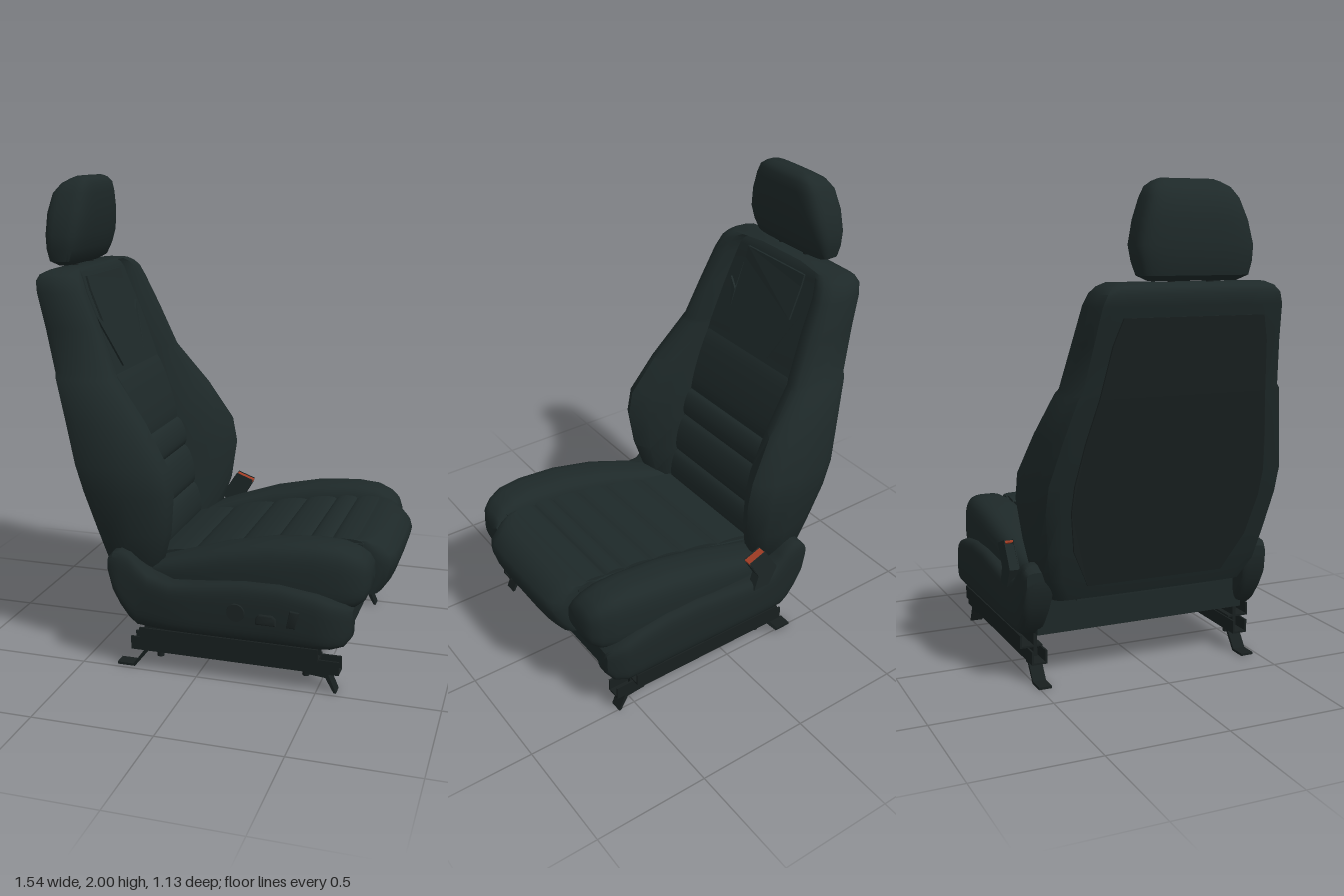
import * as THREE from 'three';
import { toCreasedNormals } from 'three/addons/utils/BufferGeometryUtils.js';

const material = (name, color) => {
  const m = new THREE.MeshStandardMaterial({ color });
  m.name = name;
  return m;
};

// Skin a row of closed cross-sections, cap both ends and face everything outward
function loft(sections, crease = 0.7) {
  const n = sections[0].length, pos = sections.flat(2), index = [];
  const centre = s => [0, 1, 2].map(k => s.reduce((t, p) => t + p[k], 0) / n);
  const last = (sections.length - 1) * n, capA = sections.length * n;
  pos.push(...centre(sections[0]), ...centre(sections.at(-1)));
  for (let j = 0; j < n; j++) {
    const k = (j + 1) % n;
    for (let r = 0; r < last; r += n) index.push(r + j, r + k, r + n + k, r + j, r + n + k, r + n + j);
    index.push(capA, k, j, capA + 1, last + j, last + k);
  }
  const v = i => new THREE.Vector3().fromArray(pos, i * 3);
  let volume = 0;
  for (let i = 0; i < index.length; i += 3) volume += v(index[i]).dot(v(index[i + 1]).cross(v(index[i + 2])));
  if (volume < 0) index.reverse();
  const g = new THREE.BufferGeometry();
  g.setAttribute('position', new THREE.Float32BufferAttribute(pos, 3));
  g.setIndex(index);
  return toCreasedNormals(g, crease);
}

// Rounded rectangle-like loop of [a, b] pairs
function roundLoop(a0, a1, b0, b1, power = 4, count = 28) {
  return Array.from({ length: count }, (_, i) => {
    const t = (i + 0.5) / count * Math.PI * 2, c = Math.cos(t), s = Math.sin(t);
    const f = u => Math.sign(u) * Math.abs(u) ** (2 / power);
    return [(a0 + a1) / 2 + f(c) * (a1 - a0) / 2, (b0 + b1) / 2 + f(s) * (b1 - b0) / 2];
  });
}

const toShape = pts => new THREE.Shape(pts.map(p => new THREE.Vector2(...p)));

// Side profile (x, y) extruded between z0 and z1; the bevel stays inside the outline
function slab(shape, z0, z1, bevel = 0) {
  const g = new THREE.ExtrudeGeometry(shape, {
    depth: z1 - z0 - 2 * bevel, bevelEnabled: bevel > 0, bevelThickness: bevel,
    bevelSize: bevel, bevelOffset: -bevel, bevelSegments: 4, curveSegments: 8,
  });
  return toCreasedNormals(g.translate(0, 0, z0 + bevel), 0.7);
}

// Padded roll whose upper face bulges between points a and b
function pleat(a, b, side, bulge, halfWidth) {
  const dx = b[0] - a[0], dy = b[1] - a[1], l = Math.hypot(dx, dy);
  const nx = -dy / l * side, ny = dx / l * side;
  const s = new THREE.Shape();
  s.moveTo(a[0], a[1]);
  s.bezierCurveTo(a[0] + dx * 0.1 + nx * bulge, a[1] + dy * 0.1 + ny * bulge,
    b[0] - dx * 0.1 + nx * bulge, b[1] - dy * 0.1 + ny * bulge, b[0], b[1]);
  s.lineTo(b[0] - nx * 0.04, b[1] - ny * 0.04);
  s.lineTo(a[0] - nx * 0.04, a[1] - ny * 0.04);
  return slab(s, -halfWidth, halfWidth);
}

// Backrest stations: y, rear x, centre front x, bolster front x, half width
const BACK = [
  [0.36, -0.37, -0.25, -0.22, 0.43], [0.45, -0.41, -0.25, -0.17, 0.485],
  [0.58, -0.452, -0.275, -0.13, 0.51], [0.75, -0.505, -0.315, -0.11, 0.537],
  [0.86, -0.54, -0.345, -0.13, 0.537], [1.03, -0.59, -0.395, -0.235, 0.498],
  [1.2, -0.642, -0.455, -0.37, 0.455], [1.22, -0.648, -0.461, -0.38, 0.44],
  [1.4, -0.695, -0.52, -0.455, 0.413], [1.54, -0.735, -0.575, -0.52, 0.395],
  [1.585, -0.745, -0.587, -0.54, 0.378], [1.61, -0.735, -0.597, -0.56, 0.355], [1.625, -0.705, -0.61, -0.58, 0.32],
];
function backAt(y, column) {
  const i = Math.max(1, BACK.findIndex(s => s[0] >= y)), a = BACK[i - 1], b = BACK[i];
  return THREE.MathUtils.mapLinear(y, a[0], b[0], a[column], b[column]);
}

// Thin panel drawn as (z, y) points and laid over the backrest surface
function backPlate(halfOutline, column, offset) {
  const pts = [...halfOutline, ...halfOutline.map(([z, y]) => [-z, y]).reverse()];
  const g = new THREE.ExtrudeGeometry(toShape(pts), { depth: 0.009, bevelEnabled: false });
  g.rotateY(Math.PI / 2);
  const p = g.attributes.position;
  for (let i = 0; i < p.count; i++) p.setX(i, p.getX(i) + backAt(p.getY(i), column) + offset);
  g.computeVertexNormals();
  return g;
}

export function createModel() {
  const leather = material('leather', 0x1e2929);
  const plastic = material('plastic', 0x1d2727);
  const shell = material('back shell', 0x1b2323);
  const metal = material('rail metal', 0x181f1f);
  const red = material('release red', 0xa03c24);

  const model = new THREE.Group();
  const seat = new THREE.Group();
  seat.name = 'carSeat';
  seat.position.z = -0.014;
  model.add(seat);
  const add = (name, geometry, mat) => {
    const m = new THREE.Mesh(geometry, mat);
    m.name = name;
    seat.add(m);
    return m;
  };
  const box = (name, mat, x0, x1, y0, y1, z0, z1) =>
    add(name, new THREE.BoxGeometry(x1 - x0, y1 - y0, z1 - z0).translate((x0 + x1) / 2, (y0 + y1) / 2, (z0 + z1) / 2), mat);

  // Backrest with side bolsters standing proud of the centre
  add('backrest', loft(BACK.map(([y, xb, xc, xf, w]) => {
    const inner = Math.min(0.29, w * 0.66), d = xf - xb;
    const half = [[xb, w * 0.5], [xb + 0.004, w * 0.84], [xb + d * 0.06, w * 0.94], [xb + d * 0.22, w * 0.985],
      [xb + d * 0.55, w], [xb + d * 0.82, w * 0.97], [xf - d * 0.04, w * 0.91], [xf, w * 0.84],
      [xf - (xf - xc) * 0.25, (w * 0.83 + inner) / 2], [xc, inner], [xc, inner * 0.4]];
    return [...half, ...half.map(([x, z]) => [x, -z]).reverse()].map(([x, z]) => [x, y, z]);
  }), 0.8), leather);

  // Horizontal rolls down the centre of the backrest, and the upper insert
  const rolls = [0.42, 0.58, 0.76, 0.89, 1.18];
  for (let i = 0; i < rolls.length - 1; i++) {
    const [a, b] = [rolls[i], rolls[i + 1]].map(y => [backAt(y, 2), y]);
    add('backrestRoll', pleat(a, b, -1, i < 3 ? 0.03 : 0.02, 0.285), leather);
  }
  add('backrestInsert', backPlate([[0.125, 1.205], [0.18, 1.32], [0.235, 1.44], [0.185, 1.4], [0.185, 1.54], [0.185, 1.59]], 2, 0.001), leather);
  add('backShell', backPlate([[0.3, 0.42], [0.38, 0.58], [0.41, 0.75], [0.41, 0.86], [0.385, 1.03],
    [0.35, 1.2], [0.32, 1.4], [0.29, 1.5]], 1, -0.006), shell);

  // Headrest and posts
  add('headrest', loft([
    [1.63, -0.72, -0.67, 0.18], [1.65, -0.755, -0.635, 0.222], [1.7, -0.768, -0.61, 0.234], [1.76, -0.77, -0.592, 0.24],
    [1.85, -0.768, -0.578, 0.218], [1.93, -0.75, -0.576, 0.188], [1.97, -0.715, -0.58, 0.165], [1.99, -0.68, -0.592, 0.135], [2, -0.655, -0.615, 0.11],
  ].map(([y, x0, x1, w]) => roundLoop(x0, x1, -w, w).map(([x, z]) => [x, y, z]))), leather);
  for (const z of [-0.08, 0.08])
    add('headrestPost', new THREE.CylinderGeometry(0.014, 0.014, 0.12, 16).translate(-0.68, 1.62, z), metal);

  // Seat pan and pleated centre cushion
  box('seatPan', plastic, -0.28, 0.6, 0.2, 0.36, -0.47, 0.47);
  const top = [[-0.3, 0.415], [-0.08, 0.465], [0.115, 0.51], [0.27, 0.538], [0.41, 0.557], [0.505, 0.567], [0.64, 0.57]];
  add('cushionCore', slab(toShape([[-0.3, 0.33], [0.64, 0.33], ...top.slice().reverse()]), -0.305, 0.305), leather);
  for (let i = 0; i < top.length - 1; i++)
    add('cushionPleat', pleat(top[i], top[i + 1], 1, 0.02, 0.295), leather);

  // Thigh pad with front corners rounded off: z, forward reach
  const padProfile = [[0.56, 0.36], [0.64, 0.35], [0.71, 0.35], [0.745, 0.4], [0.77, 0.48],
    [0.76, 0.515], [0.72, 0.555], [0.68, 0.578], [0.62, 0.583], [0.56, 0.57]];
  const padHalf = [[0.298, 0.55], [0.288, 0.76], [0.265, 0.9], [0.22, 0.975], [0.12, 1]];
  add('thighPad', loft([...padHalf.map(([z, f]) => [-z, f]), ...padHalf.slice().reverse()]
    .map(([z, f]) => padProfile.map(([x, y]) => [0.56 + (x - 0.56) * f, y, z - 0.006]))), leather);

  for (const s of [-1, 1]) {
    // Cushion bolsters
    add('cushionBolster', loft([
      [-0.27, 0.43, 0.32, 0.44], [-0.1, 0.49, 0.3, 0.49], [0.1, 0.555, 0.3, 0.512], [0.3, 0.598, 0.3, 0.518],
      [0.48, 0.612, 0.32, 0.515], [0.58, 0.605, 0.34, 0.505], [0.64, 0.582, 0.355, 0.485], [0.675, 0.555, 0.38, 0.46], [0.692, 0.52, 0.42, 0.425],
    ].map(([x, y1, y0, z1]) => roundLoop(y0, y1, 0.302, z1, 3.4).map(([y, z]) => [x, y, z * s]))), leather);

    // Lower side cover, rising at the recliner hinge: x, bottom, top, outer z of each side
    add('sideCover', loft([
      [-0.372, 0.42, 0.49, 0.535, 0.545], [-0.35, 0.34, 0.515, 0.546, 0.554], [-0.32, 0.28, 0.522, 0.546, 0.555],
      [-0.28, 0.225, 0.508, 0.546, 0.555], [-0.25, 0.202, 0.475, 0.546, 0.555], [-0.2, 0.2, 0.43, 0.55, 0.555],
      [-0.1, 0.2, 0.408, 0.566, 0.555], [0, 0.2, 0.42, 0.57, 0.555], [0.2, 0.2, 0.445, 0.57, 0.555],
      [0.35, 0.2, 0.447, 0.57, 0.555], [0.5, 0.2, 0.425, 0.57, 0.555], [0.56, 0.202, 0.405, 0.56, 0.553],
      [0.61, 0.212, 0.382, 0.53, 0.53], [0.637, 0.245, 0.355, 0.5, 0.505],
    ].map(([x, y0, y1, left, right]) =>
      roundLoop(y0, y1, 0.43, s > 0 ? left : right, 4).map(([y, z]) => [x, y, z * s]))), plastic);

    // Sliding rails: a floor channel, an inner slider and an outer mounting angle
    const z = s * 0.465;
    box('lowerRailBase', metal, -0.29, 0.59, 0.08, 0.088, z - 0.032, z + 0.032);
    for (const e of [-1, 1])
      box('lowerRailWall', metal, -0.29, 0.59, 0.08, 0.137, z + e * 0.029 - 0.004, z + e * 0.029 + 0.004);
    box('railSlider', metal, -0.24, 0.51, 0.1, 0.2, z - 0.008, z + 0.008);
    box('railFlange', metal, -0.24, 0.51, 0.139, 0.147, z - 0.03 - (s < 0 ? 0.035 : 0), z + 0.03 + (s > 0 ? 0.035 : 0));
    box('railOuterWall', metal, -0.24, 0.51, 0.139, 0.195, s * 0.527 - 0.004, s * 0.527 + 0.004);
    for (const x of [-0.02, 0.36])
      box('railBracket', metal, x - 0.03, x + 0.03, 0.14, 0.205, z - 0.034, z + 0.034);
    for (const x of [-0.17, 0.45])
      add('railBolt', new THREE.CylinderGeometry(0.015, 0.015, 0.03, 12).translate(x, 0.067, z), metal);

    // Floor feet
    add('rearFoot', slab(toShape([[-0.21, 0.085], [-0.23, 0.085], [-0.285, 0.01], [-0.355, 0.01], [-0.355, 0], [-0.278, 0]]), z - 0.028, z + 0.028), metal);
    add('frontFoot', slab(toShape([[0.45, 0.082], [0.45, 0.07], [0.535, 0.062], [0.57, 0], [0.58, 0], [0.545, 0.082]]), z - 0.028, z + 0.028), metal);
  }
  box('crossRod', metal, 0.44, 0.452, 0.066, 0.078, -0.465, 0.465);

  // Adjustment controls on one side cover
  add('adjusterKnob', new THREE.CylinderGeometry(0.036, 0.042, 0.03, 24).rotateX(Math.PI / 2).translate(0.185, 0.33, 0.562), shell);
  add('slideSwitch', slab(toShape([[0.265, 0.29], [0.35, 0.29], [0.35, 0.32], [0.335, 0.335], [0.28, 0.335], [0.265, 0.315]]), 0.545, 0.577, 0.008), shell);
  add('tiltSwitch', slab(toShape([[0.39, 0.29], [0.43, 0.29], [0.445, 0.36], [0.405, 0.365]]), 0.545, 0.577, 0.008), shell);

  // Belt buckle with a release button set between two lips
  const buckle = (name, lower, z0, z1) => add(name, slab(toShape([[-0.16, 0.38], [-0.08, 0.38], [-0.1, 0.45],
    [-0.05 - lower * 0.3, 0.54 - lower], [-0.13 - lower * 0.3, 0.57 - lower], [-0.2, 0.46]]), z0, z1), plastic);
  buckle('beltBuckle', 0.016, -0.552, -0.517);
  buckle('buckleLip', 0, -0.556, -0.552);
  buckle('buckleLip', 0, -0.517, -0.513);
  const button = add('releaseButton', new THREE.BoxGeometry(0.084, 0.009, 0.035), red);
  button.position.set(-0.092, 0.5475, -0.5345);
  button.rotation.z = -0.36;

  return model;
}
